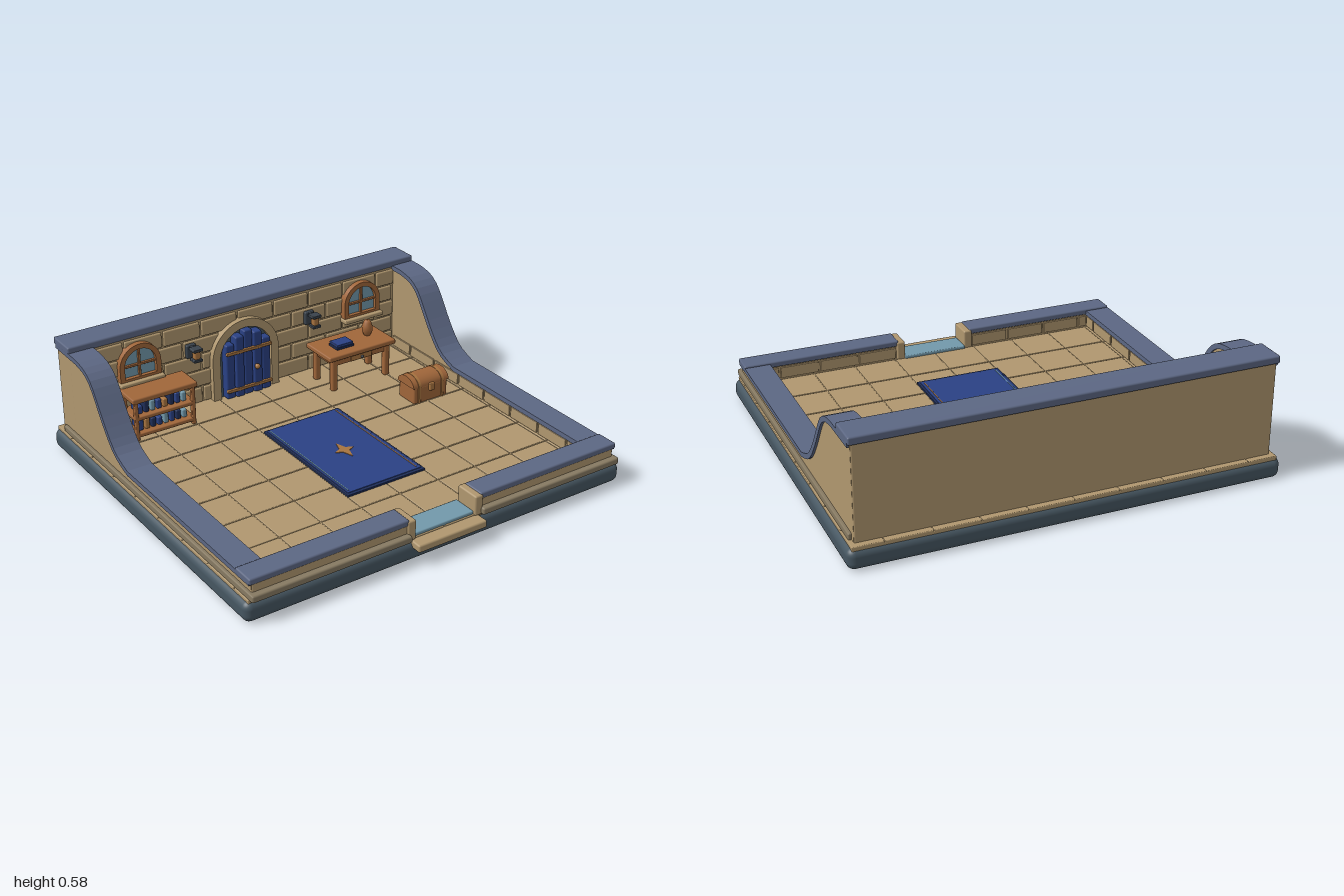
import * as THREE from 'three';
import { RoundedBoxGeometry } from 'three/addons/geometries/RoundedBoxGeometry.js';

const mat = (name, color) => Object.assign(new THREE.MeshStandardMaterial({ color }), { name });

export function createModel() {
  const root = new THREE.Group();
  root.name = 'castleRoom';
  const stone = mat('sandstone', 0xb0976f), plinth = mat('plinthStone', 0x877a62);
  const trim = mat('slateTrim', 0x5c6783), slate = mat('darkSlate', 0x465661);
  const wood = mat('wood', 0xa0663a), brass = mat('brass', 0xa87440);
  const blue = mat('royalBlue', 0x2a4184), navy = mat('navy', 0x1f2e58);
  const glass = mat('paleGlass', 0x7299ab), iron = mat('iron', 0x39424c);

  let parent = root;
  const group = (name, build) => {
    const g = new THREE.Group();
    g.name = name;
    root.add(g);
    parent = g;
    build(g);
    parent = root;
    return g;
  };
  const add = (name, geo, m, x = 0, y = 0, z = 0) => {
    const mesh = new THREE.Mesh(geo, m);
    mesh.name = name;
    mesh.position.set(x, y, z);
    parent.add(mesh);
    return mesh;
  };
  // softened box given by its limits
  const box = (name, m, x0, x1, y0, y1, z0, z1, r) => {
    const w = x1 - x0, h = y1 - y0, d = z1 - z0;
    const rad = r ?? Math.min(0.008, Math.min(w, h, d) * 0.25);
    return add(name, new RoundedBoxGeometry(w, h, d, r ? 4 : 1, rad),
      m, (x0 + x1) / 2, (y0 + y1) / 2, (z0 + z1) / 2);
  };
  const extrude = (shape, depth) =>
    new THREE.ExtrudeGeometry(shape, { depth, bevelEnabled: false, curveSegments: 16 });
  // spans a range with pieces of a given length, calling f with each clipped piece
  const pieces = (from, to, start, len, gap, f) => {
    for (let a = start; a < to; a += len) {
      const p = Math.max(a + gap / 2, from), q = Math.min(a + len - gap / 2, to);
      if (q - p > 0.015) f(p, q);
    }
  };
  // arch outline centred on x = 0
  const archPath = (path, r, bottom, spring) => {
    path.moveTo(-r, bottom);
    path.lineTo(r, bottom);
    path.lineTo(r, spring);
    path.absarc(0, spring, r, 0, Math.PI, false);
    path.lineTo(-r, bottom);
    return path;
  };

  // base and tiled floor
  box('base', slate, -1, 1, 0, 0.097, -0.902, 0.857, 0.035);
  box('floorSlab', stone, -0.98, 0.98, 0.085, 0.104, -0.89, 0.84);
  group('floorTiles', () => {
    pieces(-0.98, 0.98, -1.05, 0.21, 0.004, (x0, x1) =>
      pieces(-0.89, 0.84, -0.95, 0.21, 0.004, (z0, z1) =>
        box('floorTile', stone, x0, x1, 0.092, 0.108, z0, z1)));
  });

  // back wall with staggered bricks
  box('backWall', stone, -0.96, 0.96, 0.1, 0.55, -0.86, -0.72);
  box('backWallCap', trim, -0.972, 0.972, 0.545, 0.582, -0.868, -0.715);
  group('backBricks', () => {
    for (let row = 0; row < 5; row++) {
      const y = 0.11 + row * 0.087;
      pieces(-0.85, 0.85, -0.9 - (row % 2) * 0.1, 0.205, 0.01, (a, b) =>
        box('brick', stone, a, b, y, y + 0.078, -0.735, -0.709));
    }
  });

  // side walls sweeping down to the front; outline runs along -z
  const curve = new THREE.SplineCurve([[0.19, 0.194], [0.28, 0.228], [0.34, 0.28], [0.405, 0.365],
    [0.455, 0.44], [0.505, 0.503], [0.57, 0.54], [0.65, 0.553]].map(p => new THREE.Vector2(...p)));
  const top = [new THREE.Vector2(-0.835, 0.194), ...curve.getPoints(14), new THREE.Vector2(0.85, 0.555)];
  const under = top.map((p, i) => {
    const a = top[Math.max(i - 1, 0)], b = top[Math.min(i + 1, top.length - 1)];
    const t = b.clone().sub(a).normalize();
    return new THREE.Vector2(p.x + t.y * 0.024, p.y - t.x * 0.024);
  });
  under[under.length - 1].x = 0.85;
  const capShape = new THREE.Shape([...top, ...under.slice().reverse()]);
  const wallShape = new THREE.Shape([new THREE.Vector2(-0.83, 0.1), new THREE.Vector2(0.855, 0.1),
    new THREE.Vector2(0.855, 0.54), ...top.slice(0, -1).reverse().map(p => new THREE.Vector2(p.x, p.y - 0.008))]);
  for (const s of [-1, 1]) group(s > 0 ? 'leftWall' : 'rightWall', () => {
    // wall body is inset from its cap on both faces
    add('sideWall', extrude(wallShape, 0.105), stone, s * 0.907 - 0.0525).rotation.y = Math.PI / 2;
    add('sideCap', extrude(capShape, 0.125), trim, s * 0.9085 - 0.0625).rotation.y = Math.PI / 2;
    const [a, b] = s > 0 ? [0.95, 0.975] : [-0.975, -0.95];
    box('sidePlinth', plinth, a, b, 0.104, 0.137, -0.83, 0.865);
    const [c, d] = s > 0 ? [0.847, 0.86] : [-0.86, -0.847];
    pieces(-0.7, 0.73, -0.75, 0.2, 0.01, (p, q) => box('lowBrick', stone, c, d, 0.11, 0.166, p, q));
  });

  // low front wall, split by the entrance
  for (const s of [-1, 1]) group(s > 0 ? 'frontWallLeft' : 'frontWallRight', () => {
    const span = (n, m, a, b, ...rest) => box(n, m, s > 0 ? a : -b, s > 0 ? b : -a, ...rest);
    span('frontWall', stone, 0.18, 0.96, 0.1, 0.18, 0.74, 0.838);
    span('frontCap', trim, 0.19, 0.972, 0.173, 0.203, 0.73, 0.842);
    span('frontPlinth', plinth, 0.19, 0.975, 0.104, 0.137, 0.82, 0.868);
    span('entrancePost', stone, 0.158, 0.2, 0.1, 0.197, 0.722, 0.848);
    pieces(0.2, 0.85, 0.2, 0.2, 0.01, (p, q) => span('lowBrick', stone, p, q, 0.11, 0.166, 0.732, 0.745));
  });
  box('threshold', glass, -0.16, 0.16, 0.1, 0.122, 0.715, 0.835);
  box('entranceStep', stone, -0.182, 0.182, 0.066, 0.102, 0.8, 0.903);

  // arched plank door
  group('door', g => {
    g.position.x = -0.056;
    const ring = new THREE.Shape();
    ring.moveTo(0.187, 0.105);
    ring.lineTo(0.187, 0.315);
    ring.absarc(0, 0.315, 0.187, 0, Math.PI, false);
    ring.lineTo(-0.187, 0.105);
    ring.lineTo(-0.145, 0.105);
    ring.lineTo(-0.145, 0.315);
    ring.absarc(0, 0.315, 0.145, Math.PI, 0, true);
    ring.lineTo(0.145, 0.105);
    add('doorArch', extrude(ring, 0.05), stone, 0, 0, -0.73);
    add('doorRecess', extrude(archPath(new THREE.Shape(), 0.146, 0.105, 0.315), 0.03), slate, 0, 0, -0.73);
    [0.4, 0.435, 0.455, 0.438, 0.39].forEach((h, i) => {
      const x = (i - 2) * 0.051;
      box('doorPlank', blue, x - 0.0235, x + 0.0235, 0.11, h, -0.705, -0.655 + (i % 2) * 0.006);
    });
    for (const y of [0.155, 0.355]) box('doorStrap', brass, -0.128, 0.128, y - 0.008, y + 0.008, -0.66, -0.642);
    add('doorKnob', new THREE.SphereGeometry(0.014, 12, 8), brass, 0.036, 0.258, -0.635);
  });

  // arched windows
  for (const x of [-0.628, 0.636]) group('window', g => {
    g.position.x = x;
    const frame = archPath(new THREE.Shape(), 0.108, 0.345, 0.418);
    frame.holes.push(archPath(new THREE.Path(), 0.083, 0.36, 0.418));
    add('windowFrame', extrude(frame, 0.05), wood, 0, 0, -0.73);
    add('windowGlass', extrude(archPath(new THREE.Shape(), 0.086, 0.355, 0.418), 0.03), glass, 0, 0, -0.73);
    box('windowMullion', wood, -0.006, 0.006, 0.35, 0.503, -0.71, -0.688);
    box('windowBar', wood, -0.085, 0.085, 0.412, 0.424, -0.71, -0.688);
    box('windowSill', stone, -0.116, 0.116, 0.325, 0.347, -0.73, -0.657);
  });

  // wall lanterns
  for (const x of [-0.35, 0.325]) group('lantern', g => {
    g.position.x = x;
    box('lanternPlate', iron, -0.026, 0.026, 0.37, 0.44, -0.715, -0.69);
    box('lanternArm', iron, -0.008, 0.008, 0.42, 0.438, -0.7, -0.645);
    box('lanternCap', iron, -0.026, 0.026, 0.427, 0.442, -0.672, -0.622);
    box('lanternLight', brass, -0.016, 0.016, 0.385, 0.43, -0.664, -0.63);
    box('lanternFoot', iron, -0.024, 0.024, 0.373, 0.387, -0.67, -0.624);
  });

  // bookshelf with books and jars
  group('bookshelf', () => {
    box('shelfTop', wood, -0.756, -0.414, 0.305, 0.332, -0.677, -0.528);
    for (const y of [0.125, 0.212]) box('shelfBoard', wood, -0.745, -0.425, y, y + 0.02, -0.67, -0.535);
    for (const x of [-0.745, -0.445]) for (const z of [-0.67, -0.557])
      box('shelfPost', wood, x, x + 0.02, 0.108, 0.31, z, z + 0.022);
    const tones = [blue, navy, glass, blue, brass, navy, blue, glass];
    for (const [y, shift] of [[0.145, 3], [0.232, 0]]) for (let i = 0; i < 8; i++) {
      const x = -0.715 + i * 0.033, h = 0.042 + ((i * 3 + shift) % 4) * 0.006;
      box('book', tones[(i + shift) % 8], x, x + 0.024, y, y + h, -0.64, -0.56);
    }
  });

  // desk with book and vase
  group('desk', () => {
    box('deskTop', wood, 0.264, 0.66, 0.28, 0.306, -0.637, -0.422);
    box('deskApron', wood, 0.3, 0.625, 0.24, 0.285, -0.612, -0.445);
    box('deskDrawer', brass, 0.4, 0.525, 0.246, 0.276, -0.45, -0.436);
    add('drawerKnob', new THREE.SphereGeometry(0.008, 8, 6), iron, 0.462, 0.261, -0.43);
    for (const x of [0.29, 0.605]) for (const z of [-0.62, -0.47])
      box('deskLeg', wood, x, x + 0.032, 0.108, 0.285, z, z + 0.032);
    box('deskBookLower', navy, 0.342, 0.443, 0.306, 0.319, -0.55, -0.475);
    box('deskBookUpper', blue, 0.345, 0.44, 0.318, 0.332, -0.548, -0.477);
    const profile = [[0, 0], [0.016, 0], [0.026, 0.022], [0.028, 0.045], [0.02, 0.068], [0.014, 0.08], [0, 0.08]];
    add('vase', new THREE.LatheGeometry(profile.map(p => new THREE.Vector2(...p)), 16), wood, 0.571, 0.306, -0.545);
  });

  // chest with domed lid
  group('chest', () => {
    box('chestBody', wood, 0.542, 0.742, 0.108, 0.196, -0.23, -0.105);
    const lid = (r, x0, x1, m, name) => {
      const geo = new THREE.CylinderGeometry(r, r, x1 - x0, 16, 1, false, 0, Math.PI);
      geo.rotateZ(Math.PI / 2).scale(1, 0.72, 1);
      add(name, geo, m, (x0 + x1) / 2, 0.194, -0.168);
    };
    lid(0.066, 0.536, 0.748, wood, 'chestLid');
    for (const x of [0.565, 0.703]) {
      lid(0.069, x, x + 0.016, brass, 'lidBand');
      box('bodyBand', brass, x, x + 0.016, 0.108, 0.196, -0.234, -0.1);
    }
    box('chestLock', brass, 0.628, 0.656, 0.165, 0.205, -0.108, -0.09);
  });

  // rug with edge stripes and a four-pointed star
  group('rug', () => {
    box('rugBorder', navy, -0.212, 0.212, 0.106, 0.117, -0.277, 0.422);
    box('rugField', blue, -0.2, 0.2, 0.112, 0.12, -0.265, 0.405);
    box('rugStripeRight', glass, -0.19, -0.185, 0.116, 0.122, -0.255, 0.39);
    box('rugStripeLeft', brass, 0.181, 0.186, 0.116, 0.122, -0.255, 0.39);
    const star = new THREE.Shape();
    for (let i = 0; i < 8; i++) {
      const a = i * Math.PI / 4, r = i % 2 ? 0.024 : i % 4 ? 0.07 : 0.05;
      star[i ? 'lineTo' : 'moveTo'](r * Math.cos(a), r * Math.sin(a));
    }
    add('rugStar', extrude(star, 0.006), brass, 0, 0.117, 0.085).rotation.x = -Math.PI / 2;
  });

  return root;
}
